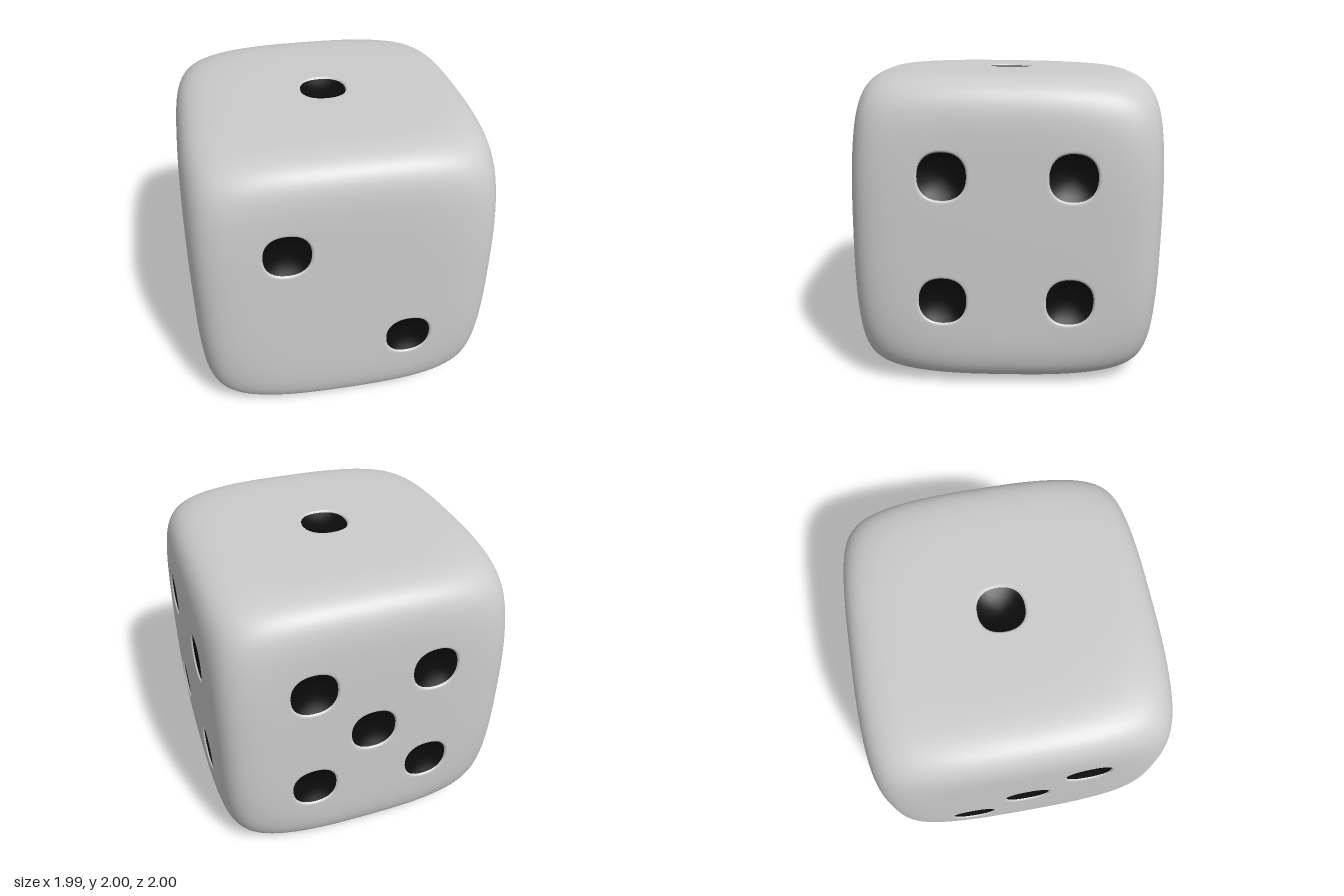
import * as THREE from 'three';
import { mergeGeometries, mergeVertices } from 'three/addons/utils/BufferGeometryUtils.js';

const HALF = 0.994;   // half the edge length of the die
const CELL = 0.4;     // each face is a 5 x 5 board of cells; pips sit in cell centres
const N = 10;         // subdivisions along a cell side
const PIP = 0.15;     // pip radius
const LIP = 0.012;    // depth of the softened rim
const BOWL = 0.045;   // further depth of the bowl

const X = new THREE.Vector3(1, 0, 0), Y = new THREE.Vector3(0, 1, 0), Z = new THREE.Vector3(0, 0, 1);
const neg = (v) => v.clone().negate();

// Each face: u and v directions (outward = u x v) and its pips in cell steps
const four = [[-1, -1], [1, -1], [-1, 1], [1, 1]];
const faces = [
  { name: 'top', u: X, v: neg(Z), pips: [[0, 0]] },
  { name: 'front', u: X, v: Y, pips: [[-1, 1], [1, -1]] },
  { name: 'left', u: neg(Z), v: Y, pips: four },
  { name: 'right', u: Z, v: Y, pips: [[1, 1], [0, 0], [-1, -1]] },
  { name: 'back', u: neg(X), v: Y, pips: [...four, [0, 0]] },
  { name: 'bottom', u: X, v: Z, pips: [...four, [0, -1], [0, 1]] },
];

// Pull a point of the unit cube onto a soft-edged cube with rounder corners
function soften(p) {
  const n = 8.8, a = Math.abs(p.x), b = Math.abs(p.y), c = Math.abs(p.z);
  const f = a ** n + b ** n + c ** n + 1.6 * (a * b * c) ** (n / 3);
  return p.multiplyScalar(HALF / f ** (1 / n));
}

// Grid surface through fn(s, t) -> Vector3, facing along ds x dt
function patch(cols, rows, fn) {
  const pos = [], index = [];
  for (let j = 0; j <= rows; j++) {
    for (let i = 0; i <= cols; i++) {
      pos.push(...fn(i / cols, j / rows).toArray());
      if (i < cols && j < rows) {
        const a = j * (cols + 1) + i, d = a + cols + 1;
        index.push(a, a + 1, d + 1, a, d + 1, d);
      }
    }
  }
  const g = new THREE.BufferGeometry();
  g.setAttribute('position', new THREE.Float32BufferAttribute(pos, 3));
  g.setIndex(index);
  return g;
}

// Point on the unit square's outline, anticlockwise from the lower left corner
function outline(s) {
  const k = (s % 1) * 4, side = Math.floor(k + 1e-9), e = 2 * (k - side) - 1;
  return [[e, -1], [1, e], [-e, 1], [-1, -e]][side];
}

// Slightly squared circle in the same direction as the outline point
function rim(s, r) {
  const [x, y] = outline(s);
  const a = Math.atan2(y, x), c = Math.cos(a), d = Math.sin(a);
  const k = r / (Math.abs(c) ** 2.3 + Math.abs(d) ** 2.3) ** (1 / 2.3);
  return [c * k, d * k];
}

// Weld the patches and give them smooth normals
function weld(list) {
  const g = mergeVertices(mergeGeometries(list), 1e-4);
  g.computeVertexNormals();
  return g;
}

export function createModel() {
  const group = new THREE.Group();
  const die = new THREE.Group();
  die.name = 'die';
  const white = new THREE.MeshStandardMaterial({ color: 0xcccccc });
  const black = new THREE.MeshStandardMaterial({ color: 0x0c0c0c });
  const skin = [];

  for (const { name, u, v, pips } of faces) {
    const out = u.clone().cross(v);
    const at = (a, b, depth = 0) => soften(out.clone().addScaledVector(u, a).addScaledVector(v, b))
      .addScaledVector(out, -depth);

    for (let r = -2; r <= 2; r++) {
      for (let c = -2; c <= 2; c++) {
        const cu = c * CELL, cv = r * CELL;
        // Plain cell
        if (!pips.some(([a, b]) => a === c && b === r)) {
          skin.push(patch(N, N, (s, t) => at(cu + (s - 0.5) * CELL, cv + (t - 0.5) * CELL)));
          continue;
        }
        // Surround of a pip: square outline to circle, then over the rim
        skin.push(patch(4 * N, 4, (s, t) => {
          const [x, y] = outline(s), [p, q] = rim(s, PIP + 0.012), h = CELL / 2;
          return at(cu + x * h + (p - x * h) * t, cv + y * h + (q - y * h) * t);
        }));
        skin.push(patch(4 * N, 2, (s, t) => {
          const [p, q] = rim(s, PIP + 0.012 * (1 - t));
          return at(cu + p, cv + q, LIP * t * t);
        }));
        // Hollow pip
        const bowl = patch(4 * N, 6, (s, t) => {
          const [p, q] = rim(s, PIP * (1 - t));
          return at(cu + p, cv + q, LIP + BOWL * (1 - (1 - t) ** 2));
        });
        const pip = new THREE.Mesh(weld([bowl]), black);
        pip.name = `${name}Pip`;
        die.add(pip);
      }
    }
  }

  const body = new THREE.Mesh(weld(skin), white);
  body.name = 'body';
  die.add(body);

  // The die leans back by a hair
  die.rotation.x = -0.0125;
  die.position.y = 1.0;
  group.add(die);
  return group;
}
